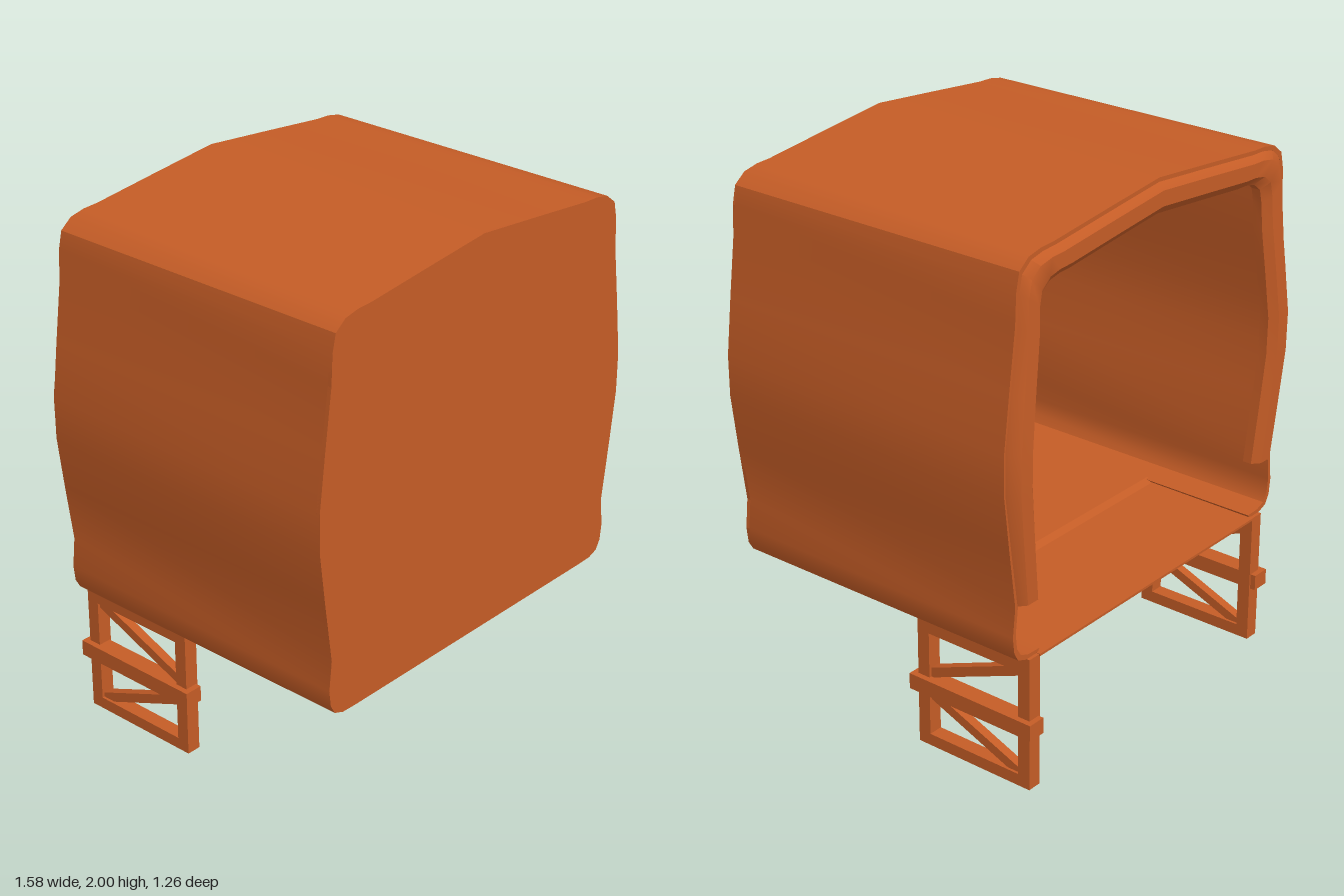
import * as THREE from 'three';
import { toCreasedNormals } from 'three/addons/utils/BufferGeometryUtils.js';

const material = new THREE.MeshStandardMaterial({ color: 0xc45c26, side: THREE.DoubleSide });

// Right half of the cabin outline, from the floor edge up to the roof ridge
const half = [
  [0.62, 0.508], [0.68, 0.51], [0.72, 0.525], [0.74, 0.56], [0.747, 0.62], [0.735, 0.73],
  [0.765, 0.95], [0.79, 1.15], [0.79, 1.3], [0.765, 1.5], [0.735, 1.72], [0.73, 1.83],
  [0.715, 1.895], [0.67, 1.93], [0.61, 1.942], [0.55, 1.944], [0.28, 1.972], [0, 2],
];
const mirrorOutline = (pts) => [...pts, ...pts.slice(0, -1).reverse().map(([x, y]) => [-x, y])];

// Moves an outline point inwards by d
function inset([x, y], d) {
  let py = y;
  if (y > 1.25) py = 1.25 + (y - 1.25) * (1 - d / 0.75);
  if (y < 0.73) py = y + d * (0.73 - y) / 0.22;
  return [x * (1 - d / 0.77), py];
}

// Sweeps a closed section of [inset, z] points along the outline
function sweep(outline, section, bulge = () => 0) {
  const pos = [], index = [], n = section.length;
  for (const p of outline) {
    for (const [d, z] of section) pos.push(...inset(p, d), z + bulge(p[1]));
  }
  for (let i = 0; i < outline.length - 1; i++) {
    for (let j = 0; j < n; j++) {
      const a = i * n + j, b = i * n + (j + 1) % n;
      index.push(a, b, a + n, b, b + n, a + n);
    }
  }
  const last = (outline.length - 1) * n;
  for (let j = 1; j < n - 1; j++) {
    index.push(0, j + 1, j, last, last + j, last + j + 1);
  }
  const g = new THREE.BufferGeometry();
  g.setAttribute('position', new THREE.Float32BufferAttribute(pos, 3));
  g.setIndex(index);
  return toCreasedNormals(g, 0.6);
}

function add(parent, name, geometry) {
  const mesh = new THREE.Mesh(geometry, material);
  mesh.name = name;
  parent.add(mesh);
  return mesh;
}

function box(parent, name, w, h, d, x, y, z) {
  const mesh = add(parent, name, new THREE.BoxGeometry(w, h, d));
  mesh.position.set(x, y, z);
  return mesh;
}

// Sloping brace between two [z, y] points
function brace(parent, x, [z0, y0], [z1, y1]) {
  const dz = z1 - z0, dy = y1 - y0;
  const mesh = box(parent, 'brace', 0.035, 0.036, Math.hypot(dz, dy), x, (y0 + y1) / 2, (z0 + z1) / 2);
  mesh.rotation.x = -Math.atan2(dy, dz);
}

// Ladder-like side frame that hangs below the cabin
function sideFrame(side) {
  const g = new THREE.Group();
  g.name = side > 0 ? 'leftLeg' : 'rightLeg';
  const x = side * 0.648;
  for (const z of [-0.135, -0.577]) box(g, 'post', 0.055, 0.51, 0.05, x, 0.255, z);
  box(g, 'topRail', 0.055, 0.055, 0.48, x, 0.475, -0.355);
  box(g, 'bottomRail', 0.055, 0.045, 0.48, x, 0.0225, -0.355);
  box(g, 'stepBand', 0.07, 0.06, 0.535, side * 0.662, 0.243, -0.355);
  brace(g, x, [-0.14, 0.28], [-0.56, 0.45]);
  brace(g, x, [-0.14, 0.21], [-0.56, 0.04]);
  return g;
}

export function createModel() {
  const model = new THREE.Group();
  model.name = 'cabin';
  const outline = mirrorOutline(half);

  // Thin wall running round sides and roof
  add(model, 'shell', sweep(outline, [[0, 0.63], [0, -0.59], [0.015, -0.59], [0.015, 0.63]]));

  // Rounded lip round the rear opening, ending above the floor
  const lip = [[0, -0.575], [0.012, -0.607], [0.04, -0.63], [0.095, -0.63], [0.125, -0.605], [0.125, -0.57], [0.014, -0.53]];
  add(model, 'openingLip', sweep(mirrorOutline(half.slice(5)), lip,
    (y) => 0.02 * Math.min(1, Math.abs(y - 1.25) / 0.6)));

  // Closed flat front wall
  const front = new THREE.Shape(outline.map(([x, y]) => new THREE.Vector2(x, y)));
  add(model, 'frontWall', new THREE.ExtrudeGeometry(front, { depth: 0.015, bevelEnabled: false }))
    .position.z = 0.616;

  // Floor: wedge-shaped at the front, with a thin rear shelf between the legs
  const profile = new THREE.Shape([
    [0.625, 0.505], [0.625, 0.525], [-0.12, 0.525], [-0.15, 0.515], [-0.605, 0.512],
    [-0.605, 0.503], [-0.14, 0.503], [-0.11, 0.48],
  ].map(([z, y]) => new THREE.Vector2(-z, y)));
  const floor = add(model, 'floor', new THREE.ExtrudeGeometry(profile, { depth: 1.25, bevelEnabled: false }));
  floor.rotation.y = Math.PI / 2;
  floor.position.x = -0.625;

  for (const side of [1, -1]) model.add(sideFrame(side));
  return model;
}
